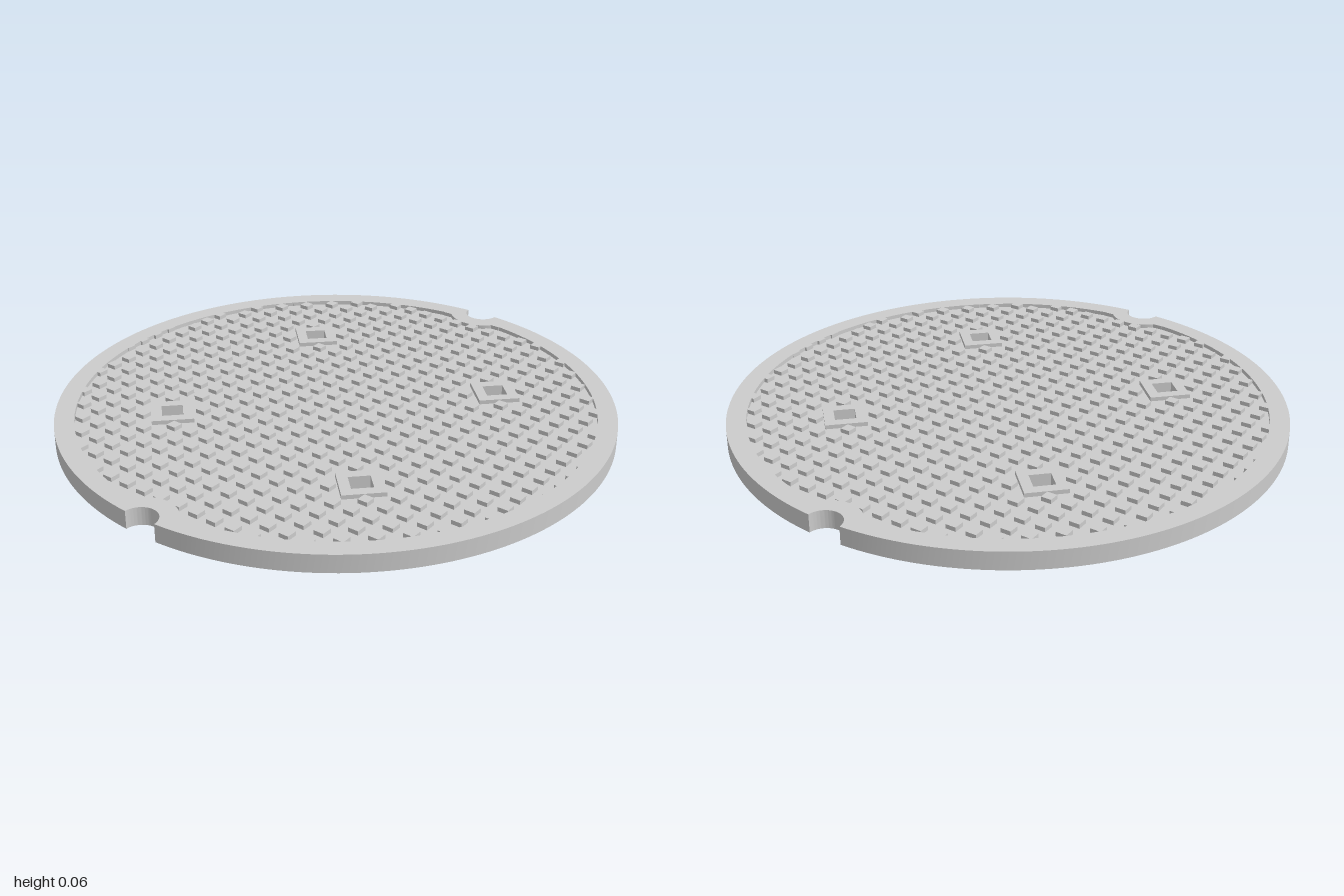
import * as THREE from 'three';
import { mergeGeometries, toCreasedNormals } from 'three/addons/utils/BufferGeometryUtils.js';

const TOP = 0.065, FLOOR = 0.05;        // rim height and recessed floor height
const RIM = 0.93, NOTCH = 0.0625, NOTCH_RIM = 0.125;
const PITCH = 0.075, STUD = 0.0375;
const HOLE_POS = 0.415, HOLE = 0.053, BOSS = 0.105;

// Circle of radius R bitten on both sides by circles of radius r centred at x = +-1
function notchedDisc(R, r) {
  const a = Math.acos((R * R + 1 - r * r) / (2 * R));
  const b = Math.atan2(R * Math.sin(a), 1 - R * Math.cos(a));
  const s = new THREE.Shape();
  s.absarc(0, 0, R, a, Math.PI - a, false);
  s.absarc(-1, 0, r, b, -b, true);
  s.absarc(0, 0, R, Math.PI + a, 2 * Math.PI - a, false);
  s.absarc(1, 0, r, Math.PI + b, Math.PI - b, true);
  return s;
}

function diamond(x, y, d) {
  return new THREE.Shape([[d, 0], [0, d], [-d, 0], [0, -d]].map(([u, v]) => new THREE.Vector2(x + u, y + v)));
}

// Flat horizontal face at height y
function cap(shape, y, down = false) {
  const g = new THREE.ShapeGeometry(shape, 48).toNonIndexed();
  g.rotateX(-Math.PI / 2);
  if (down) {
    const p = g.attributes.position;
    for (let i = 0; i < p.count; i += 3) {
      const [x, z] = [p.getX(i), p.getZ(i)];
      p.setXYZ(i, p.getX(i + 1), 0, p.getZ(i + 1));
      p.setXYZ(i + 1, x, 0, z);
    }
  }
  g.translate(0, y, 0);
  g.deleteAttribute('uv');
  g.computeVertexNormals();
  return g;
}

// Vertical wall along a counter-clockwise outline, facing outward or inward
function wall(shape, y0, y1, inward = false) {
  const pts = shape.getPoints(48), v = [];
  pts.forEach((p, i) => {
    let q = pts[(i + 1) % pts.length];
    if (p.distanceTo(q) < 1e-6) return;
    if (inward) [p, q] = [q, p];
    v.push(p.x, y0, -p.y, q.x, y0, -q.y, q.x, y1, -q.y);
    v.push(p.x, y0, -p.y, q.x, y1, -q.y, p.x, y1, -p.y);
  });
  const g = new THREE.BufferGeometry();
  g.setAttribute('position', new THREE.Float32BufferAttribute(v, 3));
  return toCreasedNormals(g, 0.6);
}

function withHoles(shape, holes) {
  const s = shape.clone();
  s.holes.push(...holes);
  return s;
}

export function createModel() {
  const group = new THREE.Group();
  const mat = new THREE.MeshStandardMaterial({ color: 0xcccccc });
  const add = (name, parts) => {
    const mesh = new THREE.Mesh(mergeGeometries(parts), mat);
    mesh.name = name;
    group.add(mesh);
  };

  const outer = notchedDisc(1, NOTCH), inner = notchedDisc(RIM, NOTCH_RIM);
  const corners = [[1, 1], [-1, 1], [-1, -1], [1, -1]].map(([x, y]) => [x * HOLE_POS, y * HOLE_POS]);
  const holes = corners.map(([x, y]) => diamond(x, y, HOLE));
  const bosses = corners.map(([x, y]) => diamond(x, y, BOSS));

  // Raised rim with pick notches, recessed floor and underside
  add('rim', [cap(withHoles(outer, [inner]), TOP), wall(outer, 0, TOP), wall(inner, FLOOR, TOP, true)]);
  add('recessedFloor', [cap(withHoles(inner, bosses), FLOOR)]);
  add('underside', [cap(withHoles(outer, holes), 0, true)]);

  // Diamond collars around the square through holes
  holes.forEach((hole, i) => add('holeCollar' + (i + 1), [
    cap(withHoles(bosses[i], [hole]), TOP),
    wall(bosses[i], FLOOR, TOP),
    wall(hole, 0, TOP, true),
  ]));

  // Grid of square grip studs; the outermost run into the rim
  const studs = [];
  for (let i = -13; i < 13; i++) {
    for (let j = -13; j < 13; j++) {
      const x = (i + 0.5) * PITCH, z = (j + 0.5) * PITCH;
      const ax = Math.abs(x), az = Math.abs(z);
      if (Math.hypot(ax - STUD / 2, az - STUD / 2) > RIM) continue;
      if (Math.hypot(1 - ax, az) < NOTCH_RIM) continue;
      if (Math.abs(ax - HOLE_POS) + Math.abs(az - HOLE_POS) < BOSS - 0.015) continue;
      studs.push(new THREE.BoxGeometry(STUD, TOP - FLOOR, STUD).translate(x, (TOP + FLOOR) / 2, z));
    }
  }
  add('gripStuds', studs);
  return group;
}
